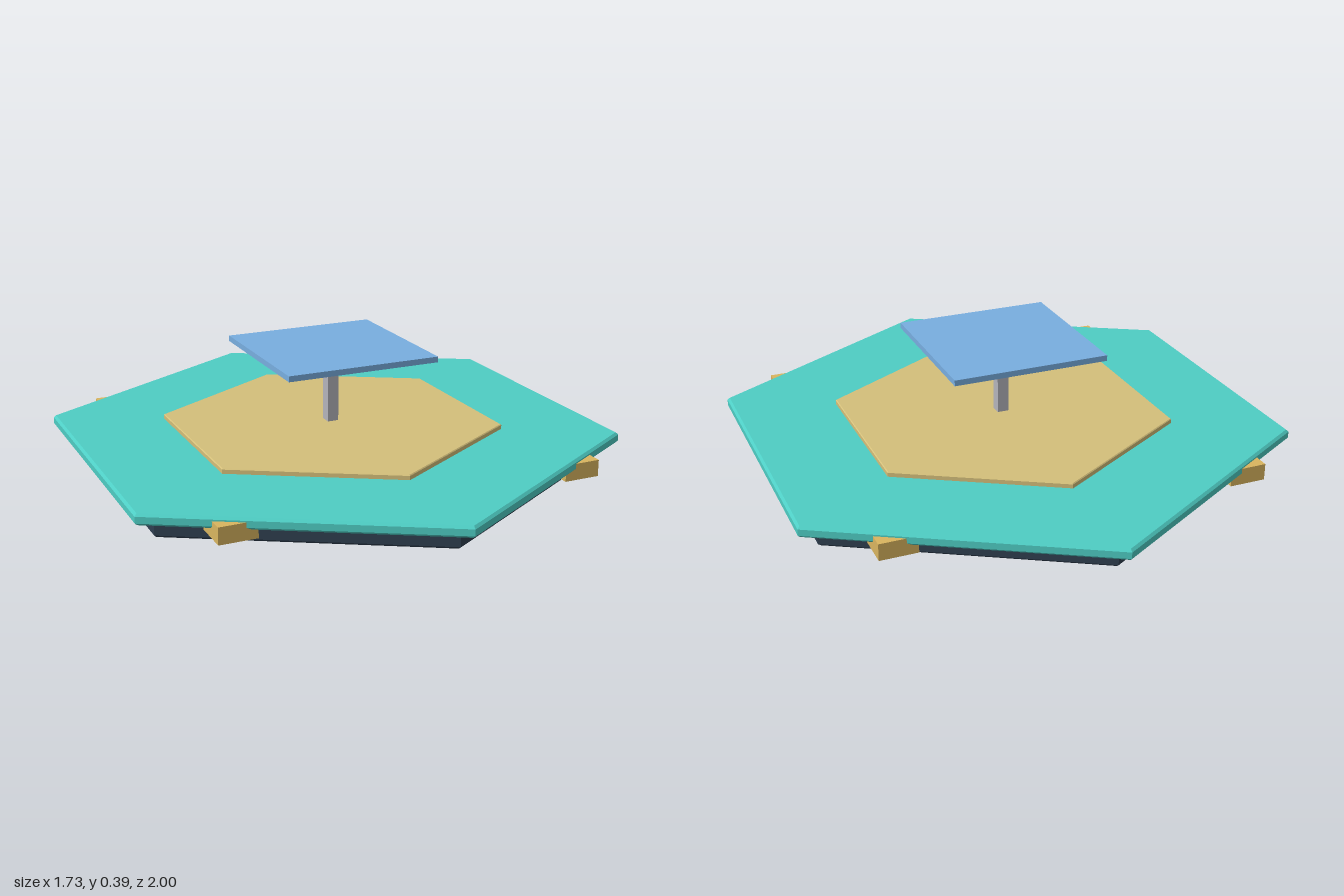
import * as THREE from 'three';

const mat = (color) => new THREE.MeshStandardMaterial({ color, flatShading: true });

function add(group, name, geometry, material, x = 0, y = 0, z = 0) {
  const mesh = new THREE.Mesh(geometry, material);
  mesh.name = name;
  mesh.position.set(x, y, z);
  group.add(mesh);
  return mesh;
}

// Hexagonal slab with corners on +z and -z and slightly chamfered rims
function hexSlab(radius, y0, y1, bevel) {
  const inner = radius - bevel / Math.cos(Math.PI / 6);
  const points = [];
  for (let i = 0; i < 6; i++) {
    const a = Math.PI / 2 + (i * Math.PI) / 3;
    points.push(new THREE.Vector2(Math.cos(a) * inner, Math.sin(a) * inner));
  }
  const geometry = new THREE.ExtrudeGeometry(new THREE.Shape(points), {
    depth: y1 - y0 - 2 * bevel,
    bevelEnabled: true,
    bevelSize: bevel,
    bevelThickness: bevel,
    bevelSegments: 1,
  });
  geometry.rotateX(-Math.PI / 2);
  geometry.translate(0, y0 + bevel, 0);
  return geometry;
}

export function createModel() {
  const model = new THREE.Group();
  model.name = 'hexPlatform';

  // Stacked hexagonal slabs
  add(model, 'base', hexSlab(0.92, 0, 0.075, 0.008), mat(0x2f3f50));
  add(model, 'deck', hexSlab(1.0, 0.067, 0.105, 0.008), mat(0x4ecdc4));
  add(model, 'centrePad', hexSlab(0.597, 0.1, 0.122, 0.003), mat(0xd4bf7a));

  // Post and square panel
  add(model, 'post', new THREE.BoxGeometry(0.04, 0.265, 0.04), mat(0xb4b4bc), 0, 0.2525, 0);
  add(model, 'panel', new THREE.BoxGeometry(0.545, 0.02, 0.545), mat(0x78aee0), 0, 0.38, 0);

  // Four clamps tucked under the deck edge
  const gold = mat(0xd9b55f);
  for (const sx of [-1, 1]) {
    for (const sz of [-1, 1]) {
      add(model, 'clamp', new THREE.BoxGeometry(0.127, 0.057, 0.127), gold, sx * 0.603, 0.0635, sz * 0.603);
    }
  }
  return model;
}
